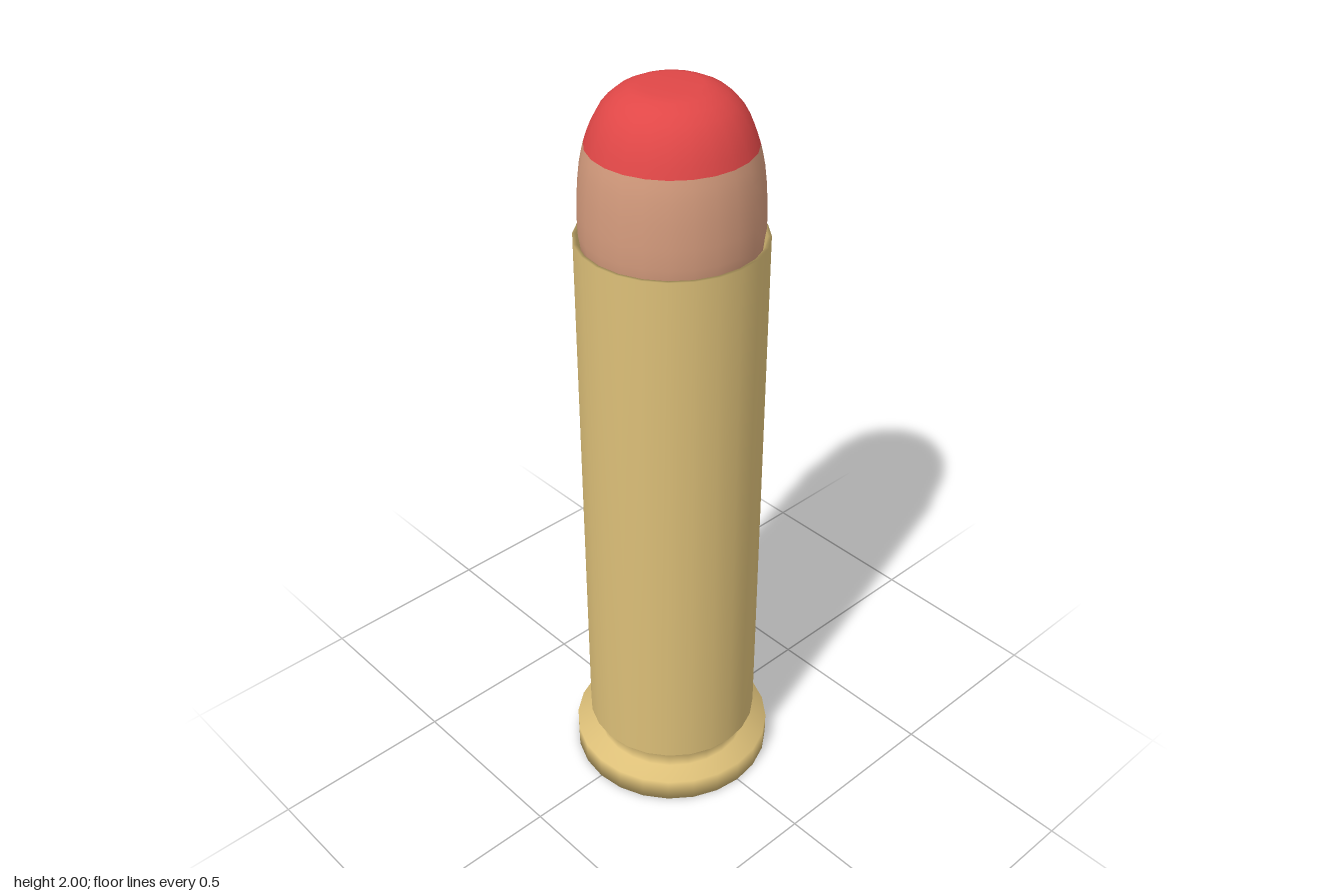
import * as THREE from 'three';

const SIDES = 24;

// Turns a bottom-to-top profile of [radius, height] pairs into a round part.
function turned(name, profile, material) {
  const points = profile.map(([r, y]) => new THREE.Vector2(r, y));
  const mesh = new THREE.Mesh(new THREE.LatheGeometry(points, SIDES), material);
  mesh.name = name;
  return mesh;
}

function flat(name, color) {
  const material = new THREE.MeshStandardMaterial({ color });
  material.name = name;
  return material;
}

export function createModel() {
  const brass = flat('brass', 0xdcbf78);
  const copper = flat('copper', 0xd39a7c);
  const red = flat('red', 0xe04747);

  const model = new THREE.Group();
  model.name = 'cartridge';

  // Case: rimmed base, extractor groove, straight wall and open mouth
  model.add(turned('case', [
    [0, 0], [0.275, 0], [0.275, 0.065], [0.21, 0.065], [0.21, 0.11],
    [0.235, 0.13], [0.235, 1.628], [0.226, 1.628], [0.226, 1.56],
  ], brass));

  // Jacket: lower part of the projectile, seated in the mouth
  model.add(turned('jacket', [
    [0, 1.56], [0.212, 1.56], [0.219, 1.625], [0.223, 1.65], [0.222, 1.7],
    [0.219, 1.76], [0.213, 1.81], [0.207, 1.84], [0.202, 1.86],
  ], copper));

  // Tip: painted rounded nose with a small flat end
  model.add(turned('tip', [
    [0.202, 1.86], [0.194, 1.885], [0.183, 1.912], [0.168, 1.939],
    [0.15, 1.961], [0.127, 1.98], [0.1, 1.993], [0.072, 2], [0, 2],
  ], red));

  return model;
}
